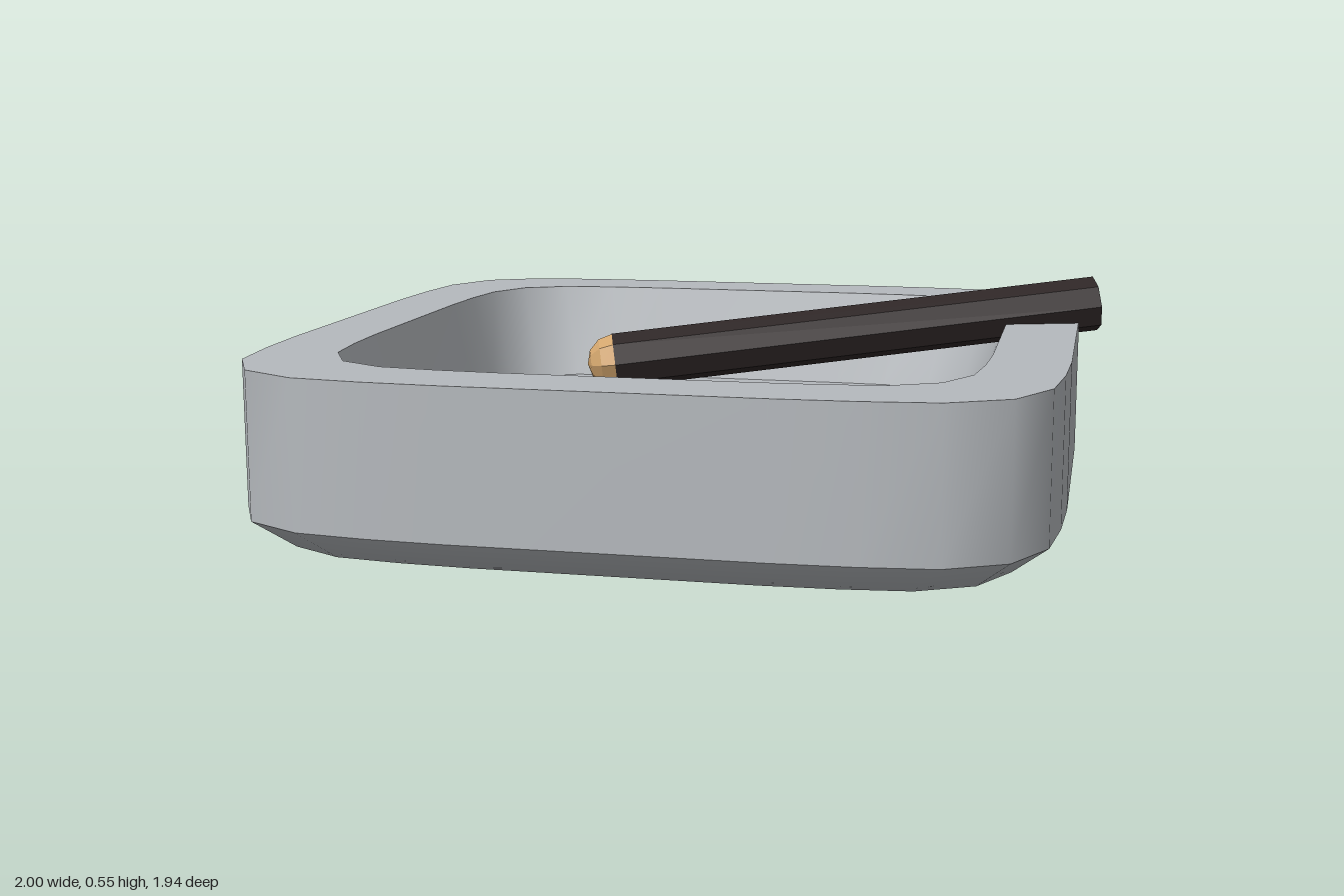
import * as THREE from 'three';

// Rounded-square outline: one corner, turned four times
const corner = [[0.97, -0.36], [0.97, 0.36], [0.962, 0.55], [0.942, 0.725], [0.867, 0.867], [0.725, 0.942], [0.55, 0.962]];
const outline = [];
for (let q = 0; q < 4; q++) {
  for (const [x, z] of corner.slice(1)) {
    const c = Math.round(Math.cos(q * Math.PI / 2)), s = Math.round(Math.sin(q * Math.PI / 2));
    outline.push([x * c - z * s, x * s + z * c]);
  }
  const c = Math.round(Math.cos((q + 1) * Math.PI / 2)), s = Math.round(Math.sin((q + 1) * Math.PI / 2));
  outline.push([0.97 * c + 0.36 * s, 0.97 * s - 0.36 * c]);
}

// Smooth surface through scaled copies of the outline, given as [scale, height]
function shell(levels) {
  const n = outline.length, pos = [], index = [];
  for (const [k, y] of levels) for (const [x, z] of outline) pos.push(x * k, y, z * k);
  for (let l = 0; l < levels.length - 1; l++) {
    for (let i = 0; i < n; i++) {
      const j = (i + 1) % n, a = l * n + i, b = l * n + j, c = a + n, d = b + n;
      if (levels[l][0] > 0) index.push(a, c, b);
      if (levels[l + 1][0] > 0) index.push(b, c, d);
    }
  }
  const g = new THREE.BufferGeometry();
  g.setAttribute('position', new THREE.Float32BufferAttribute(pos, 3));
  g.setIndex(index);
  g.computeVertexNormals();
  return g;
}

export function createModel() {
  const model = new THREE.Group();
  const grey = new THREE.MeshStandardMaterial({ color: 0xb5b9bd });
  grey.name = 'trayGrey';
  const brown = new THREE.MeshStandardMaterial({ color: 0x2e2626, flatShading: true });
  brown.name = 'darkBrown';
  const tan = new THREE.MeshStandardMaterial({ color: 0xd2a56d, flatShading: true });
  tan.name = 'tan';

  // Tray: separate shells keep the rim and floor edges sharp
  const tray = new THREE.Group();
  tray.name = 'tray';
  tray.position.x = -0.03;
  const parts = {
    base: [[0, 0], [0.912, 0], [1, 0.075]],
    outerWall: [[1, 0.075], [1, 0.43]],
    rim: [[1, 0.43], [0.807, 0.43]],
    innerWall: [[0.807, 0.43], [0.733, 0.17]],
    floor: [[0.733, 0.17], [0, 0.17]],
  };
  for (const [name, levels] of Object.entries(parts)) {
    const mesh = new THREE.Mesh(shell(levels), grey);
    mesh.name = name;
    tray.add(mesh);
  }
  model.add(tray);

  // Eight-sided stick leaning on the rim, with a rounded tip at its low end
  const low = new THREE.Vector3(-0.26, 0.333, -0.003);
  const high = new THREE.Vector3(0.98, 0.475, -0.357);
  const length = low.distanceTo(high);
  const stick = new THREE.Group();
  stick.name = 'stick';
  stick.position.copy(low);
  stick.lookAt(high);

  const body = new THREE.Mesh(new THREE.CylinderGeometry(0.073, 0.073, length, 8), brown);
  body.name = 'stickBody';
  body.rotation.x = Math.PI / 2;
  body.position.z = length / 2;

  const tip = new THREE.Mesh(new THREE.SphereGeometry(0.072, 8, 6), tan);
  tip.name = 'stickTip';
  tip.rotation.x = Math.PI / 2;
  stick.add(body, tip);
  model.add(stick);

  return model;
}
